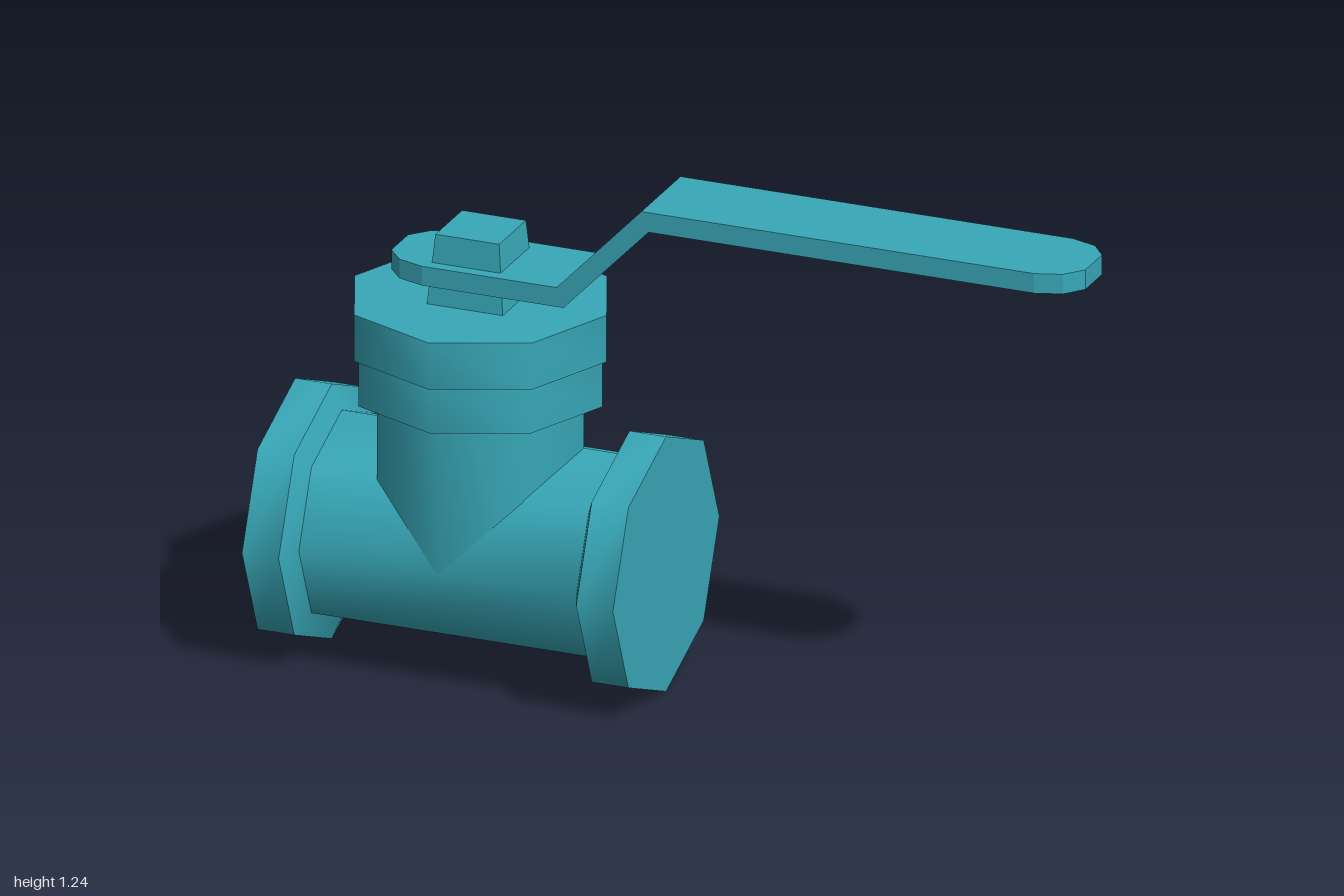
import * as THREE from 'three';
import { toCreasedNormals } from 'three/addons/utils/BufferGeometryUtils.js';

const AXIS_Y = 0.318; // height of the pipe axis
const STEM_X = -0.537; // x of the vertical axis

export function createModel() {
  const group = new THREE.Group();
  group.name = 'ballValve';
  const paint = new THREE.MeshStandardMaterial({ color: 0x38a8b8 });
  const flatPaint = new THREE.MeshStandardMaterial({ color: 0x38a8b8, flatShading: true });

  const add = (name, geometry, material = paint) => {
    const mesh = new THREE.Mesh(geometry, material);
    mesh.name = name;
    group.add(mesh);
    return mesh;
  };

  // Eight-sided turned part from [radius, height] pairs, smooth around and sharp at the steps
  const turned = (profile) => toCreasedNormals(
    new THREE.LatheGeometry(profile.map(([r, h]) => new THREE.Vector2(r, h)), 8), 0.9);

  // Horizontal pipe with a chamfered flange at each end
  const half = [[0, -0.465], [0.318, -0.465], [0.318, -0.373], [0.257, -0.348]];
  const mirrored = half.map(([r, h]) => [r, -h]).reverse();
  const pipe = add('pipeBody', turned([...half, ...mirrored]));
  pipe.rotation.z = -Math.PI / 2;
  pipe.position.set(STEM_X, AXIS_Y, 0);

  // Neck and the two stacked bonnet rings
  const rings = [
    ['neck', 0.259, AXIS_Y, 0.85],
    ['lowerBonnetRing', 0.305, 0.685, 0.795],
    ['upperBonnetRing', 0.316, 0.799, 0.915],
  ];
  for (const [name, r, y0, y1] of rings) {
    add(name, turned([[0, y0], [r, y0], [r, y1], [0, y1]])).position.x = STEM_X;
  }

  // Tapered square stem through the handle
  const stemGeometry = new THREE.CylinderGeometry(0.08 * Math.SQRT2, 0.096 * Math.SQRT2, 0.18, 4);
  stemGeometry.rotateY(Math.PI / 4);
  add('stem', stemGeometry, flatPaint).position.set(STEM_X, 0.995, 0);

  // Bent lever with rounded ends
  add('handle', leverGeometry(), flatPaint);
  return group;
}

function leverGeometry() {
  // Stations: top x, bottom x, top y, bottom y, half width
  const stations = [
    [-0.74, -0.74, 1.016, 0.968, 0.05],
    [-0.70, -0.70, 1.016, 0.968, 0.096],
    [-0.635, -0.635, 1.016, 0.968, 0.117],
    [-0.298, -0.28, 1.016, 0.968, 0.117],
    [-0.085, -0.067, 1.239, 1.19, 0.117],
    [0.9, 0.9, 1.239, 1.19, 0.117],
    [0.963, 0.963, 1.239, 1.19, 0.096],
    [1, 1, 1.239, 1.19, 0.05],
  ];
  const positions = [];
  const index = [];
  for (const [xt, xb, yt, yb, w] of stations) {
    positions.push(xt, yt, w, xt, yt, -w, xb, yb, -w, xb, yb, w);
  }
  const last = (stations.length - 1) * 4;
  for (let s = 0; s < last; s += 4) {
    for (let k = 0; k < 4; k++) {
      const a = s + k, b = s + (k + 1) % 4;
      index.push(a, a + 4, b, b, a + 4, b + 4);
    }
  }
  // End faces
  index.push(0, 1, 2, 0, 2, 3);
  index.push(last, last + 2, last + 1, last, last + 3, last + 2);
  const geometry = new THREE.BufferGeometry();
  geometry.setAttribute('position', new THREE.Float32BufferAttribute(positions, 3));
  geometry.setIndex(index);
  const flat = geometry.toNonIndexed();
  flat.computeVertexNormals();
  return flat;
}
